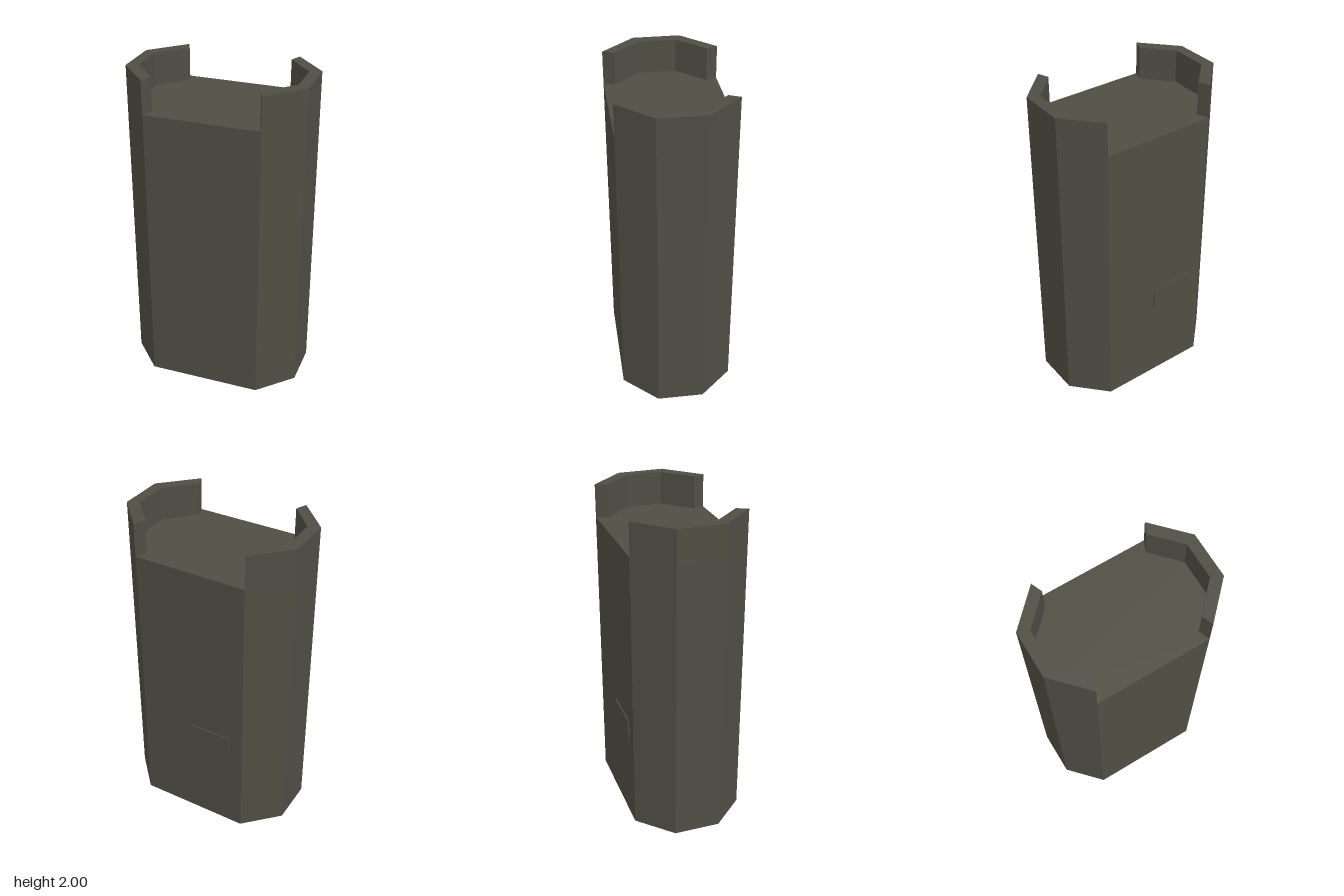
import * as THREE from 'three';

// Vertical prism from a plan outline of [x, z] points
function prism(name, outline, y0, y1, material) {
  const shape = new THREE.Shape(outline.map(([x, z]) => new THREE.Vector2(x, -z)));
  const geometry = new THREE.ExtrudeGeometry(shape, { depth: y1 - y0, bevelEnabled: false });
  geometry.rotateX(-Math.PI / 2).translate(0, y0, 0);
  const mesh = new THREE.Mesh(geometry, material);
  mesh.name = name;
  return mesh;
}

export function createModel() {
  const group = new THREE.Group();
  group.name = 'octagonalCase';
  const olive = new THREE.MeshStandardMaterial({ color: 0x4f4e44 });
  olive.name = 'dark olive';

  const deck = 1.795, top = 2;

  // Outer corners of each side, back to front
  const rightOuter = [[-0.345, -0.346], [-0.548, -0.145], [-0.55, 0.142], [-0.362, 0.347]];
  const leftOuter = [[0.36, -0.343], [0.548, -0.138], [0.545, 0.148], [0.343, 0.35]];
  // Inner corners of the raised rims, back to front
  const rightInner = [[-0.318, -0.277], [-0.48, -0.115], [-0.482, 0.112], [-0.332, 0.278]];
  const leftInner = [[0.328, -0.275], [0.48, -0.108], [0.478, 0.115], [0.317, 0.282]];

  // Main eight-sided body
  group.add(prism('body', [...rightOuter, ...leftOuter.slice().reverse()], 0, deck, olive));

  // Raised rims around both ends, open at front and back
  group.add(prism('rightRim', [...rightOuter, ...rightInner.slice().reverse()], deck, top, olive));
  group.add(prism('leftRim', [...leftOuter, ...leftInner.slice().reverse()], deck, top, olive));

  // Small raised plate on the back
  const plate = new THREE.Mesh(new THREE.BoxGeometry(0.28, 0.15, 0.014), olive);
  plate.name = 'backPlate';
  plate.position.set(-0.12, 0.625, -0.346);
  group.add(plate);

  return group;
}
